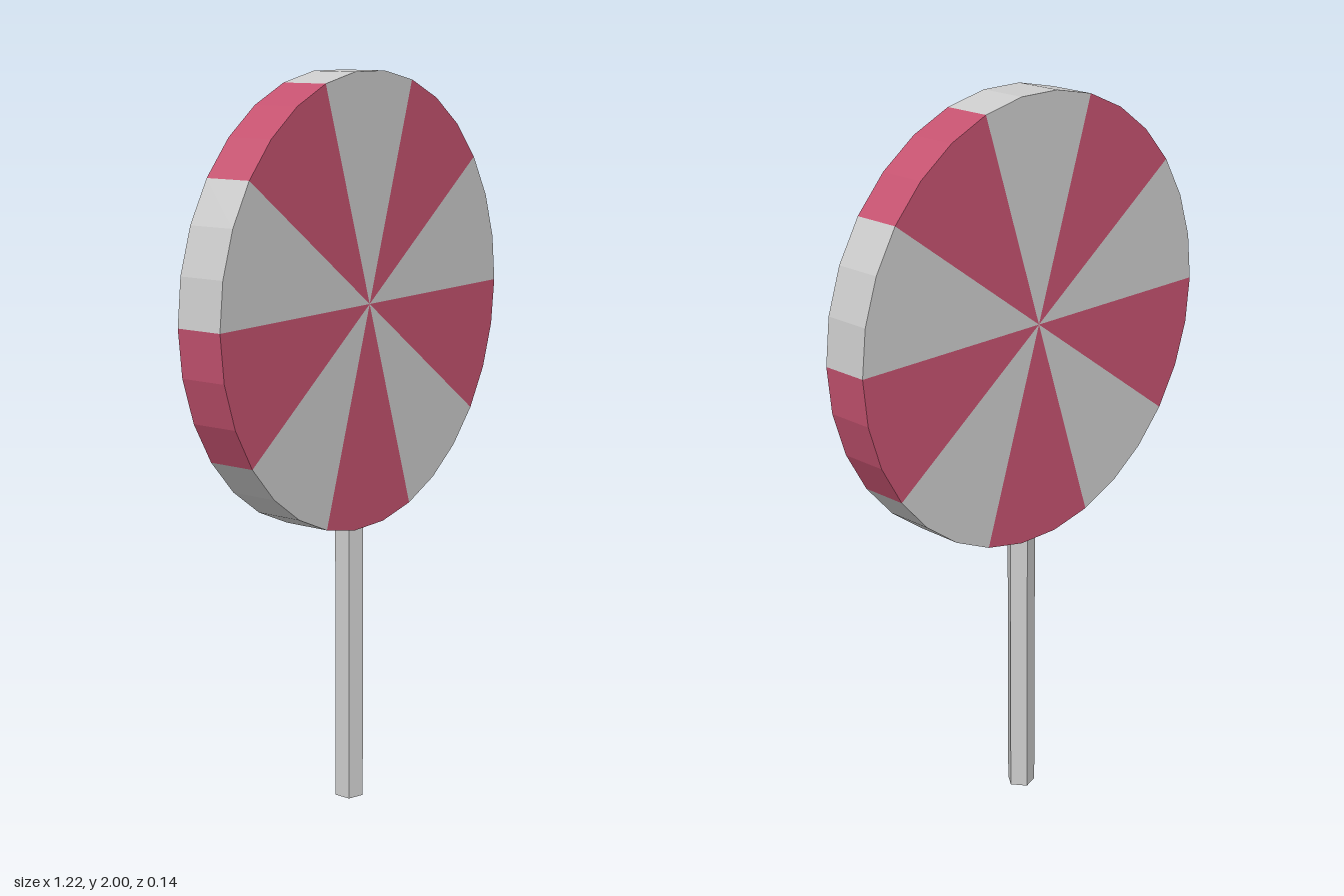
import * as THREE from 'three';

const RADIUS = 0.608, DEPTH = 0.135, CENTRE_Y = 1.395;
const WEDGES = 10, SIDES_PER_WEDGE = 3;

export function createModel() {
  const model = new THREE.Group();
  model.name = 'lollipop';
  const pale = new THREE.MeshStandardMaterial({ color: 0xcccccc, flatShading: true });
  const pink = new THREE.MeshStandardMaterial({ color: 0xc4526f, flatShading: true });

  // Candy disc: alternating wedges, counter-clockwise from +x
  const candy = new THREE.Group();
  candy.name = 'candyDisc';
  candy.position.y = CENTRE_Y;
  const angle = (Math.PI * 2) / WEDGES;
  for (let i = 0; i < WEDGES; i++) {
    const geometry = new THREE.CylinderGeometry(
      RADIUS, RADIUS, DEPTH, SIDES_PER_WEDGE, 1, false, Math.PI / 2 + i * angle, angle);
    geometry.rotateX(Math.PI / 2);
    const wedge = new THREE.Mesh(geometry, i % 2 ? pink : pale);
    wedge.name = i % 2 ? 'pinkWedge' : 'paleWedge';
    candy.add(wedge);
  }
  model.add(candy);

  // Five-sided stick with one corner towards +x
  const height = CENTRE_Y - RADIUS * Math.cos(angle / SIDES_PER_WEDGE / 2);
  const stick = new THREE.Mesh(
    new THREE.CylinderGeometry(0.04, 0.04, height, 5, 1, false, Math.PI / 2), pale);
  stick.name = 'stick';
  stick.position.y = height / 2;
  model.add(stick);

  return model;
}
